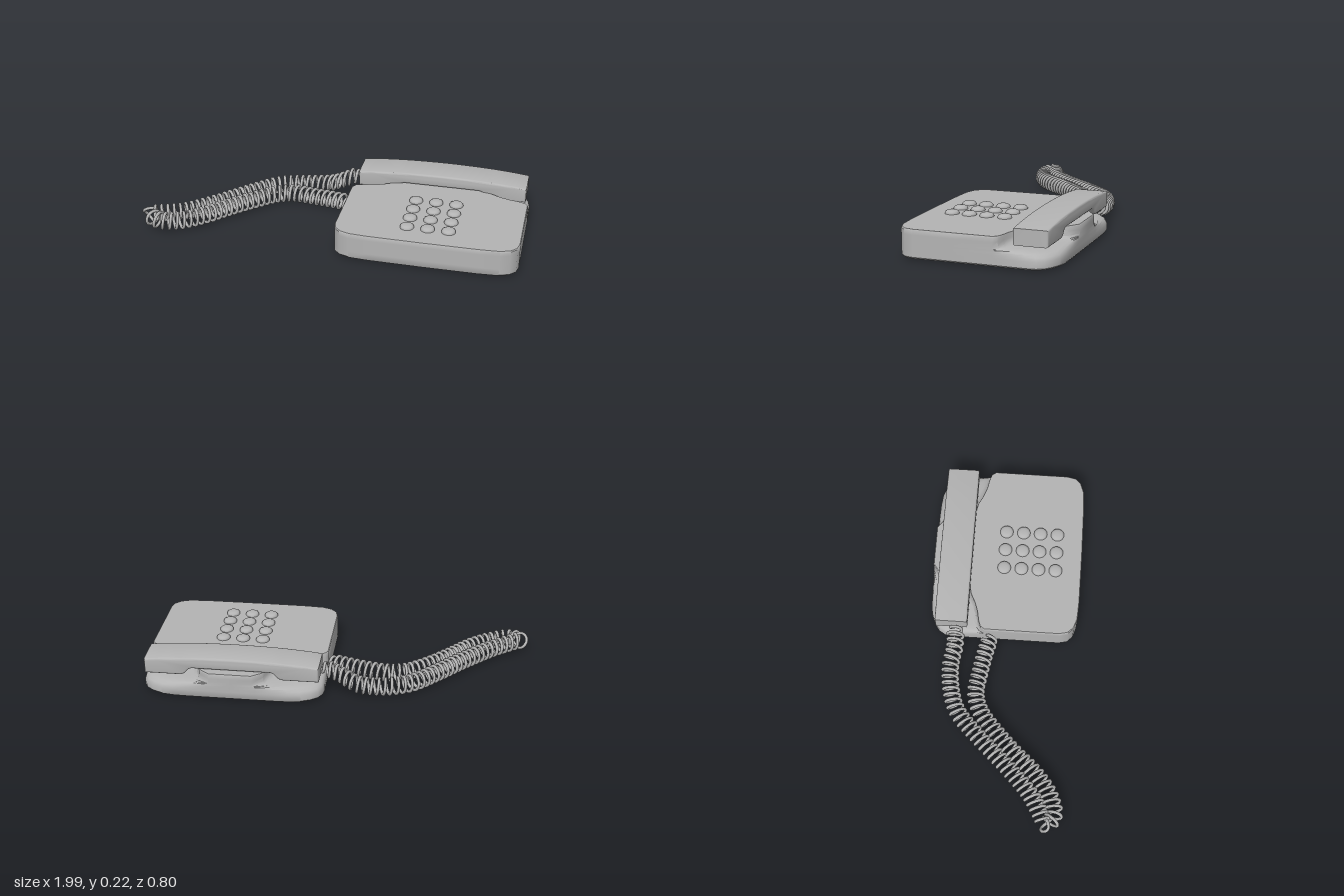
import * as THREE from 'three';
import { toCreasedNormals } from 'three/addons/utils/BufferGeometryUtils.js';

const grey = new THREE.MeshStandardMaterial({ color: 0xb4b4b4 });
grey.name = 'phone grey';
const CX = 0.52; // middle of the telephone

function add(group, name, geometry) {
  const mesh = new THREE.Mesh(geometry, grey);
  mesh.name = name;
  group.add(mesh);
  return mesh;
}

// Half outlines [x, z]: the base, and the deck with its two handset recesses
const front = [[0, 0.4], [0.28, 0.398], [0.38, 0.392], [0.43, 0.375], [0.46, 0.345], [0.47, 0.3], [0.47, 0.1], [0.47, -0.1]];
const lowBack = [[0.47, -0.15], [0.47, -0.21], [0.47, -0.27], [0.465, -0.31], [0.445, -0.345], [0.41, -0.37],
  [0.36, -0.39], [0.3, -0.398], [0.22, -0.4], [0.13, -0.4], [0, -0.4]];
const highBack = [[0.455, -0.122], [0.42, -0.134], [0.37, -0.143], [0.32, -0.16], [0.27, -0.185], [0.22, -0.195],
  [0.195, -0.22], [0.185, -0.29], [0.165, -0.36], [0.11, -0.4], [0, -0.4]];

function mirrorOutline(half) {
  const back = half.slice(1, -1).reverse().map(([x, z]) => [-x, z]);
  return [...half, ...back];
}

// Body lofted from base outline (t = 0) to deck outline (t = 1)
function bodyGeometry() {
  const low = mirrorOutline([...front, ...lowBack]);
  const high = mirrorOutline([...front, ...highBack]);
  const layers = [ // y, t, scale
    [0.01, 0, 0.985], [0.018, 0, 1], [0.05, 0, 1], [0.066, 0.04, 1], [0.078, 0.12, 1], [0.087, 0.27, 1],
    [0.091, 0.55, 1], [0.095, 0.8, 1], [0.106, 0.94, 1], [0.125, 1, 1], [0.147, 1, 1], [0.152, 1, 0.992]];
  const n = low.length;
  const rings = layers.map(([y, t, s]) => low.map(([x, z], i) => new THREE.Vector3(
    (x + (high[i][0] - x) * t) * s, y, (z + (high[i][1] - z) * t) * s)));
  const pos = [], index = [];
  rings.flat().forEach((p) => pos.push(p.x + CX, p.y, p.z));
  for (let j = 0; j < rings.length - 1; j++) {
    for (let i = 0; i < n; i++) {
      const a = j * n + i, b = j * n + (i + 1) % n;
      index.push(a, b, b + n, a, b + n, a + n);
    }
  }
  // top and bottom caps
  for (const j of [0, rings.length - 1]) {
    const flat = rings[j].map((p) => new THREE.Vector2(p.x, -p.z));
    for (const tri of THREE.ShapeUtils.triangulateShape(flat, [])) {
      const [a, b, c] = tri;
      const area = (flat[b].x - flat[a].x) * (flat[c].y - flat[a].y) - (flat[b].y - flat[a].y) * (flat[c].x - flat[a].x);
      const up = area > 0 ? [a, b, c] : [a, c, b];
      if (j === 0) up.reverse();
      index.push(...up.map((k) => k + j * n));
    }
  }
  const g = new THREE.BufferGeometry();
  g.setAttribute('position', new THREE.Float32BufferAttribute(pos, 3));
  g.setIndex(index);
  return toCreasedNormals(g, 0.7);
}

// Handset: arched bar with an ear cup and a mouth cup
function handsetGeometry() {
  const b = 0.01;
  const s = new THREE.Shape();
  s.moveTo(-0.45 + b, 0.115 + b);
  s.lineTo(-0.27, 0.115 + b);
  s.bezierCurveTo(-0.235, 0.125, -0.24, 0.162, -0.2, 0.165);
  s.lineTo(0.2, 0.165);
  s.bezierCurveTo(0.24, 0.162, 0.235, 0.125, 0.27, 0.115 + b);
  s.lineTo(0.45 - b, 0.115 + b);
  s.lineTo(0.45 - b, 0.196 - b);
  s.bezierCurveTo(0.2, 0.225 - b, -0.2, 0.225 - b, -0.45 + b, 0.196 - b);
  s.closePath();
  const g = new THREE.ExtrudeGeometry(s, {
    depth: 0.172 - 2 * b, bevelEnabled: true, bevelSize: b, bevelThickness: b, bevelSegments: 3, curveSegments: 14 });
  g.translate(CX, 0, -0.363 + b);
  return toCreasedNormals(g, 0.7);
}

// Coil wound around a path, narrowing to the path at both ends
class Coil extends THREE.Curve {
  constructor(path, turns, radius) {
    super();
    Object.assign(this, { path, turns, radius, arcLengthDivisions: 4000 });
  }
  getPoint(t, target = new THREE.Vector3()) {
    const p = this.path.getPointAt(t);
    const side = this.path.getTangentAt(t).cross(new THREE.Vector3(0, 1, 0)).normalize();
    const r = this.radius * Math.min(1, t / 0.03 + 0.15, (1 - t) / 0.015);
    const a = t * this.turns * Math.PI * 2;
    return target.copy(p).addScaledVector(side, Math.cos(a) * r).add(new THREE.Vector3(0, Math.sin(a) * r, 0));
  }
}

function cordGeometry() {
  const path = new THREE.CatmullRomCurve3([
    [0.09, 0.15, -0.26], [0.02, 0.13, -0.25], [-0.04, 0.1, -0.25], [-0.12, 0.065, -0.265], [-0.25, 0.052, -0.255],
    [-0.38, 0.052, -0.21], [-0.52, 0.052, -0.08], [-0.66, 0.052, 0.07], [-0.8, 0.054, 0.2], [-0.91, 0.065, 0.265],
    [-0.95, 0.067, 0.29], [-0.9, 0.06, 0.325], [-0.8, 0.052, 0.3], [-0.69, 0.052, 0.22], [-0.58, 0.052, 0.1],
    [-0.48, 0.052, 0], [-0.37, 0.055, -0.09], [-0.28, 0.058, -0.12], [-0.15, 0.06, -0.105], [-0.04, 0.065, -0.085],
    [0.06, 0.07, -0.06]].map((p) => new THREE.Vector3(...p)));
  return new THREE.TubeGeometry(new Coil(path, 74, 0.041), 1400, 0.0085, 7, false);
}

export function createModel() {
  const phone = new THREE.Group();
  phone.name = 'telephone';
  add(phone, 'body', bodyGeometry());
  add(phone, 'handset', handsetGeometry());
  add(phone, 'coiledCord', cordGeometry());

  // Keypad: three columns, four rows of domed keys
  const keypad = new THREE.Group();
  keypad.name = 'keypad';
  const dome = new THREE.LatheGeometry([[0.036, -0.004], [0.036, 0.006], [0.032, 0.013], [0.024, 0.018], [0.012, 0.0195], [0, 0.02]]
    .map((p) => new THREE.Vector2(...p)), 16);
  for (const x of [-0.106, 0, 0.106]) {
    for (const z of [-0.017, 0.076, 0.168, 0.26]) {
      add(keypad, 'key', dome).position.set(CX + x, 0.151, z);
    }
  }
  phone.add(keypad);
  return phone;
}
